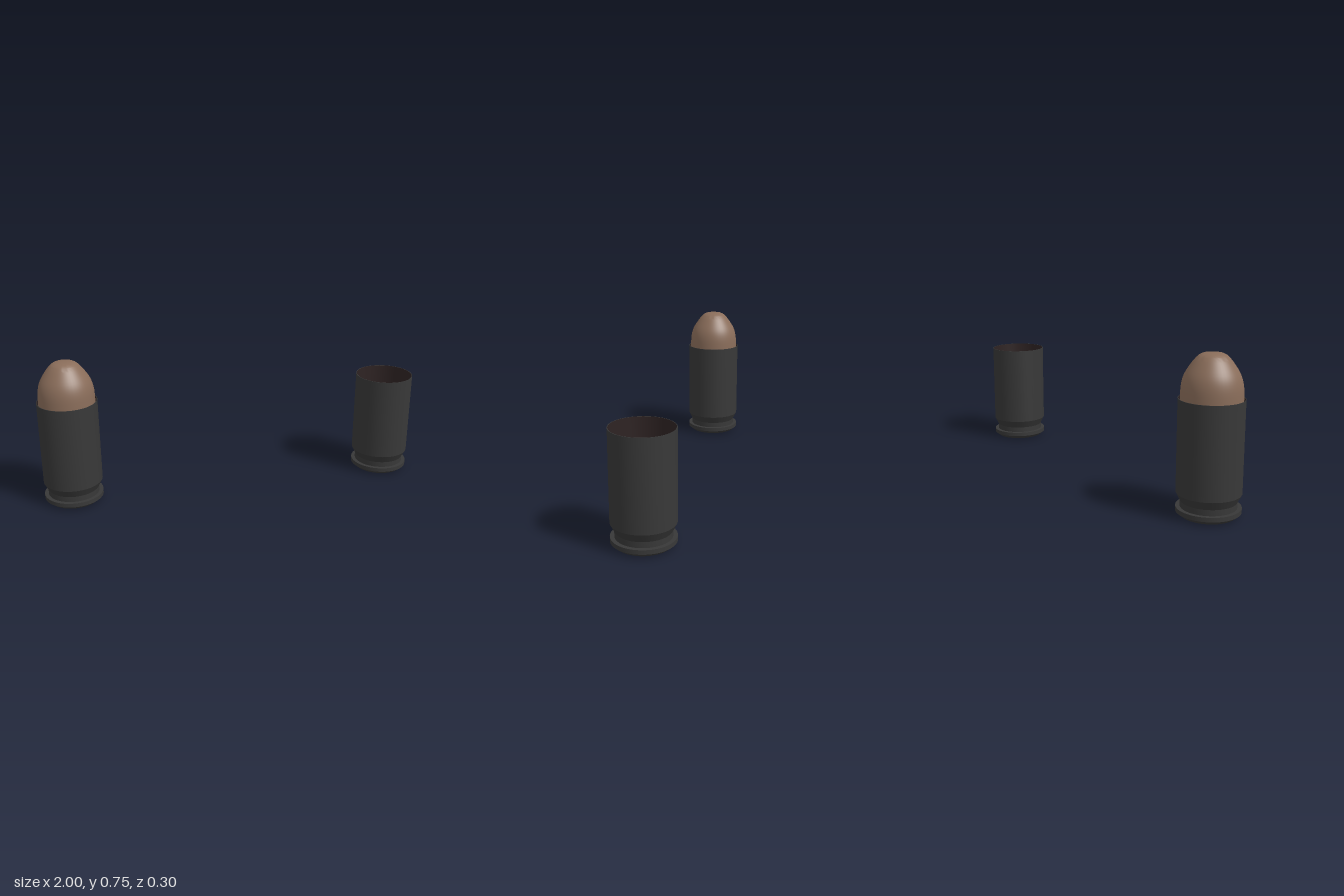
import * as THREE from 'three';
import { toCreasedNormals } from 'three/addons/utils/BufferGeometryUtils.js';

const mat = (name, color, side = THREE.FrontSide) => {
  const m = new THREE.MeshStandardMaterial({ color, side });
  m.name = name;
  return m;
};

// Revolved part from [radius, height] pairs, listed bottom to top on the outside
function turned(name, profile, material, crease = 0.45) {
  const points = profile.map(([r, y]) => new THREE.Vector2(r, y));
  const geometry = toCreasedNormals(new THREE.LatheGeometry(points, 48), crease);
  const mesh = new THREE.Mesh(geometry, material);
  mesh.name = name;
  return mesh;
}

export function createModel() {
  const model = new THREE.Group();
  model.name = 'cartridges';
  const gunmetal = mat('dark gunmetal', 0x383838);
  const inside = mat('dark inside', 0x2e2323);
  const copper = mat('dull copper', 0x8a6d5a);

  function cartridge(name, x) {
    const group = new THREE.Group();
    group.name = name;
    group.position.x = x;

    // Case: chamfered rim, extractor groove, straight wall, thin mouth
    group.add(turned('caseShell', [
      [0, 0.003], [0.128, 0.003], [0.15, 0.021], [0.15, 0.042], [0.13, 0.042],
      [0.13, 0.07], [0.15, 0.11], [0.15, 0.542], [0.147, 0.542],
    ], gunmetal));

    // Hollow interior, running down the wall to the floor
    group.add(turned('caseInside', [[0.147, 0.542], [0.147, 0.12], [0, 0.12]], inside));

    // Primer disc in the base
    group.add(turned('primer', [[0, 0], [0.076, 0], [0.076, 0.006]], copper));
    model.add(group);
    return group;
  }

  const loaded = cartridge('loadedCartridge', -0.85);
  cartridge('emptyCase', 0.85);

  // Rounded bullet with a small flattened tip
  const curve = new THREE.SplineCurve([
    [0.14, 0.54], [0.137, 0.6], [0.123, 0.65], [0.092, 0.7], [0.065, 0.731], [0.045, 0.742],
  ].map(([r, y]) => new THREE.Vector2(r, y)));
  const nose = curve.getPoints(18).map(p => [p.x, p.y]);
  loaded.add(turned('bullet', [[0.14, 0.4], ...nose, [0.02, 0.745], [0, 0.745]], copper, 0.6));

  return model;
}
